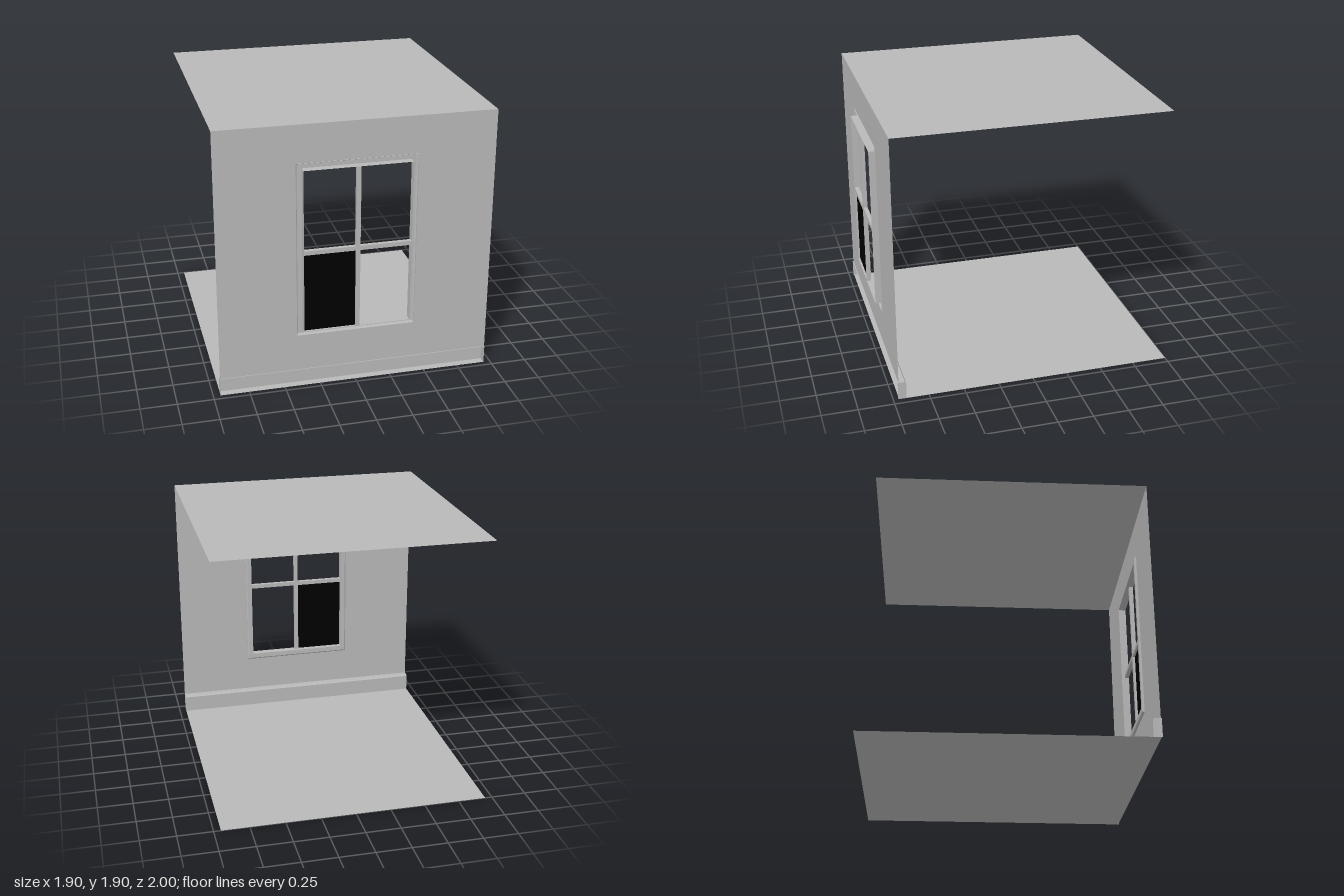
import * as THREE from 'three';

const W = 0.95, TOP = 1.9, WALL_Z = 0.96, SKIRT = 0.13;

// Flat-shaded surface through rows of points; each row has the same length
function loft(rows, closed) {
  const pos = [];
  const n = rows[0].length;
  for (let r = 0; r < rows.length - 1; r++) {
    for (let i = 0; i < (closed ? n : n - 1); i++) {
      const j = (i + 1) % n;
      const [a, b, c, d] = [rows[r][i], rows[r][j], rows[r + 1][j], rows[r + 1][i]];
      pos.push(...a, ...b, ...c, ...a, ...c, ...d);
    }
  }
  const g = new THREE.BufferGeometry();
  g.setAttribute('position', new THREE.Float32BufferAttribute(pos, 3));
  g.computeVertexNormals();
  return g;
}

// Corners of an upright rectangle
const rect = (hw, y0, y1, z) => [[-hw, y0, z], [hw, y0, z], [hw, y1, z], [-hw, y1, z]];

export function createModel() {
  const plaster = new THREE.MeshStandardMaterial({ color: 0xb8b8b8, side: THREE.DoubleSide });
  plaster.name = 'plaster grey';
  const black = new THREE.MeshStandardMaterial({ color: 0x000000, side: THREE.DoubleSide });
  black.name = 'pane black';

  const model = new THREE.Group();
  model.name = 'roomSection';
  const add = (name, geometry, material = plaster, x = 0, y = 0, z = 0, parent = model) => {
    const mesh = new THREE.Mesh(geometry, material);
    mesh.name = name;
    mesh.position.set(x, y, z);
    parent.add(mesh);
    return mesh;
  };

  // Floor and ceiling sheets; the floor reaches a little further back
  const sheet = (name, y, back) =>
    add(name, new THREE.PlaneGeometry(2 * W, WALL_Z - back).rotateX(-Math.PI / 2),
      plaster, 0, y, (WALL_Z + back) / 2);
  sheet('floor', 0, -1);
  sheet('ceiling', TOP, -0.945);

  // Wall sheet above the skirting, with the window opening
  const toVec = ([x, y]) => new THREE.Vector2(x, y);
  const wall = new THREE.Shape(rect(W, SKIRT, TOP, 0).map(toVec));
  wall.holes.push(new THREE.Path(rect(0.413, 0.395, 1.637, 0).map(toVec)));
  add('wall', new THREE.ShapeGeometry(wall), plaster, 0, 0, WALL_Z);

  // Skirting board: hollow towards the outside, chamfered on the room side
  const skirting = new THREE.Group();
  skirting.name = 'skirting';
  model.add(skirting);
  const profile = [[0.966, SKIRT], [0.916, SKIRT], [0.907, 0.12], [0.907, 0]];
  add('skirtingFace', loft(profile.map(([z, y]) => [[W, y, z], [-W, y, z]]), false),
    plaster, 0, 0, 0, skirting);
  const capShape = new THREE.Shape([...profile, [0.966, 0]].map(([z, y]) => new THREE.Vector2(-z, y)));
  for (const side of [-1, 1]) {
    add('skirtingEnd', new THREE.ShapeGeometry(capShape).rotateY(Math.PI / 2),
      plaster, side * W, 0, 0, skirting);
  }

  const windowGroup = new THREE.Group();
  windowGroup.name = 'window';
  model.add(windowGroup);

  // Chamfered casing on the room side, open at its back
  add('casing', loft([
    rect(0.413, 0.395, 1.637, 0.966),
    rect(0.413, 0.395, 1.637, 0.952),
    rect(0.404, 0.404, 1.628, 0.945),
    rect(0.37, 0.44, 1.598, 0.945),
  ], true), plaster, 0, 0, 0, windowGroup);

  // Thin reveal running outwards from the casing
  add('reveal', loft([rect(0.37, 0.44, 1.598, 0.945), rect(0.37, 0.44, 1.598, 1)], true),
    plaster, 0, 0, 0, windowGroup);

  // Glazing bars
  add('verticalBar', new THREE.BoxGeometry(0.03, 1.158, 0.03), plaster, 0, 1.019, 0.983, windowGroup);
  add('horizontalBar', new THREE.BoxGeometry(0.74, 0.03, 0.03), plaster, 0, 1.018, 0.983, windowGroup);

  // Single dark pane, lower right
  add('darkPane', new THREE.PlaneGeometry(0.355, 0.563), black, -0.1925, 0.7215, 0.985, windowGroup);

  return model;
}
